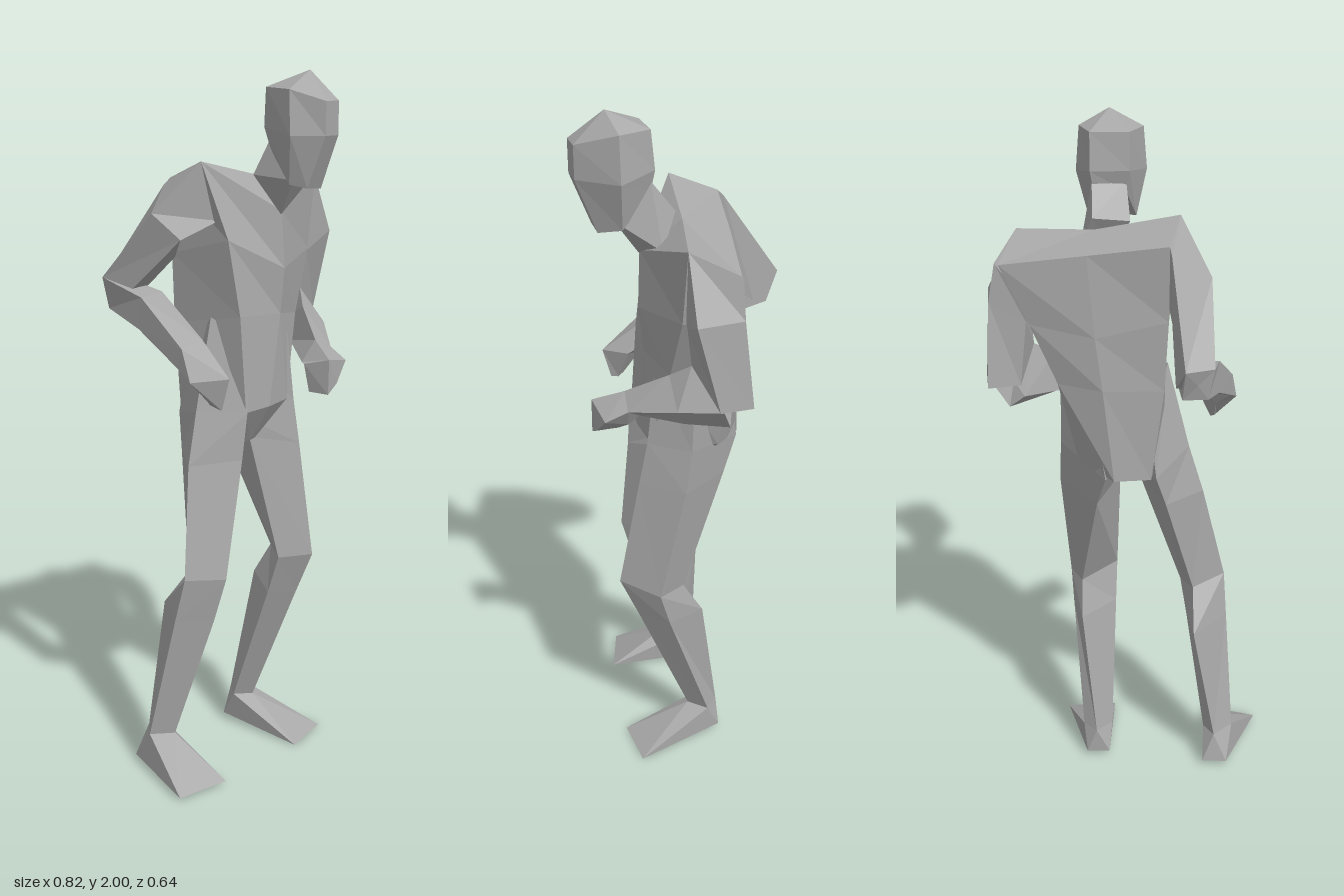
import * as THREE from 'three';

const V = (p) => new THREE.Vector3(...p);

// Faceted solid through matching rings of points, closed by a fan at each end.
// An optional tip point replaces the centre of the starting fan.
function loft(rings, tip) {
  const R = rings.map((r) => r.map(V));
  const n = R[0].length;
  const tris = [];
  for (let i = 0; i < R.length - 1; i++) {
    for (let j = 0; j < n; j++) {
      const k = (j + 1) % n;
      tris.push([R[i][j], R[i][k], R[i + 1][k]], [R[i][j], R[i + 1][k], R[i + 1][j]]);
    }
  }
  const centre = (r) => r.reduce((s, p) => s.add(p), new THREE.Vector3()).divideScalar(n);
  const first = R[0], last = R[R.length - 1];
  const a = tip ? V(tip) : centre(first);
  const b = centre(last);
  for (let j = 0; j < n; j++) {
    const k = (j + 1) % n;
    tris.push([a, first[k], first[j]], [b, last[j], last[k]]);
  }
  // Turn the faces outward whichever way the rings run
  const mid = centre(first).add(centre(last)).multiplyScalar(0.5);
  let volume = 0;
  for (const [p, q, r] of tris) {
    const d = p.clone().sub(mid);
    volume += d.dot(q.clone().sub(mid).cross(r.clone().sub(mid)));
  }
  const pts = tris.flatMap(([p, q, r]) => (volume < 0 ? [p, r, q] : [p, q, r]));
  const g = new THREE.BufferGeometry().setFromPoints(pts);
  g.computeVertexNormals();
  return g;
}

export function createModel() {
  const model = new THREE.Group();
  model.name = 'standingFigure';
  const clay = new THREE.MeshStandardMaterial({ color: 0xa8a8a8, flatShading: true });
  clay.name = 'grey clay';
  const add = (name, rings, tip) => {
    const m = new THREE.Mesh(loft(rings, tip), clay);
    m.name = name;
    model.add(m);
  };

  // Head: crown, brow, cheeks and jaw
  add('head', [
    [[-0.04, 1.95, 0.23], [0, 1.92, 0.32], [0.065, 1.92, 0.32], [0.14, 1.955, 0.22], [0.11, 1.955, 0.13], [0, 1.955, 0.13]],
    [[-0.05, 1.83, 0.24], [0, 1.83, 0.32], [0.065, 1.83, 0.32], [0.15, 1.83, 0.22], [0.11, 1.85, 0.12], [0, 1.85, 0.125]],
    [[-0.02, 1.7, 0.22], [0, 1.69, 0.265], [0.07, 1.685, 0.265], [0.115, 1.7, 0.21], [0.1, 1.79, 0.13], [0.01, 1.79, 0.14]],
  ], [0.055, 2.0, 0.235]);

  add('neck', [
    [[0.01, 1.82, 0.14], [0.105, 1.82, 0.13], [0.11, 1.71, 0.21], [0, 1.71, 0.22]],
    [[0, 1.72, 0.09], [0.105, 1.735, 0.065], [0.14, 1.64, 0.11], [0.05, 1.61, 0.15]],
  ]);

  // Torso: shoulders, chest, waist, hips, crotch
  add('torso', [
    [[-0.135, 1.76, 0.01], [0.055, 1.62, 0.15], [0.315, 1.7, 0.097], [0.36, 1.635, -0.03], [0.12, 1.675, -0.08], [-0.1, 1.71, -0.12]],
    [[-0.12, 1.55, 0.09], [0.06, 1.46, 0.158], [0.275, 1.49, 0.1], [0.28, 1.47, -0.045], [0.1, 1.45, -0.105], [-0.1, 1.5, -0.118]],
    [[-0.105, 1.34, 0.12], [0.06, 1.33, 0.145], [0.195, 1.31, 0.11], [0.205, 1.3, -0.06], [0.08, 1.3, -0.12], [-0.09, 1.3, -0.118]],
    [[-0.105, 1.07, 0.14], [0, 1.07, 0.15], [0.105, 1.07, 0.14], [0.15, 1.05, -0.045], [0.05, 1.03, -0.135], [-0.055, 1.03, -0.125]],
    [[-0.03, 0.96, 0.08], [0, 0.96, 0.085], [0.03, 0.96, 0.08], [0.035, 0.955, 0.04], [0.01, 0.955, 0.03], [-0.03, 0.955, 0.03]],
  ], [0.1, 1.71, 0.045]);

  // Right arm, elbow drawn far back
  const rightElbow = [[-0.215, 1.43, -0.28], [-0.135, 1.435, -0.32], [-0.115, 1.36, -0.24], [-0.205, 1.36, -0.23]];
  const rightWrist = [[-0.295, 1.275, 0.06], [-0.215, 1.29, 0.07], [-0.205, 1.23, 0.05], [-0.29, 1.22, 0.04]];
  add('rightUpperArm', [
    [[-0.135, 1.76, 0.01], [-0.1, 1.71, -0.12], [-0.1, 1.54, -0.09], [-0.11, 1.6, 0.05]],
    [[-0.215, 1.62, -0.1], [-0.105, 1.69, -0.14], [-0.11, 1.49, -0.1], [-0.19, 1.55, -0.02]],
    rightElbow,
  ]);
  add('rightForearm', [
    [[-0.215, 1.43, -0.28], [-0.135, 1.435, -0.32], [-0.13, 1.345, -0.285], [-0.2, 1.34, -0.27]],
    [[-0.24, 1.39, -0.12], [-0.12, 1.39, -0.14], [-0.13, 1.31, -0.14], [-0.24, 1.3, -0.13]],
    rightWrist,
  ]);
  add('rightHand', [
    rightWrist,
    [[-0.312, 1.19, 0.1], [-0.25, 1.2, 0.185], [-0.2, 1.2, 0.12], [-0.25, 1.18, 0.07]],
    [[-0.255, 1.12, 0.13], [-0.25, 1.11, 0.16], [-0.24, 1.11, 0.14], [-0.25, 1.12, 0.12]],
  ]);

  // Left arm, bent across the waist
  const leftWrist = [[0.2, 1.22, 0.23], [0.17, 1.19, 0.19], [0.09, 1.19, 0.2], [0.13, 1.25, 0.22]];
  add('leftUpperArm', [
    [[0.315, 1.7, 0.097], [0.37, 1.64, -0.03], [0.27, 1.5, -0.03], [0.26, 1.52, 0.09]],
    [[0.4, 1.53, 0.1], [0.39, 1.53, -0.03], [0.29, 1.47, -0.02], [0.285, 1.48, 0.09]],
    [[0.41, 1.29, 0.04], [0.4, 1.285, -0.055], [0.31, 1.28, -0.02], [0.275, 1.37, 0.075]],
  ]);
  add('leftForearm', [
    [[0.41, 1.29, 0.03], [0.345, 1.21, -0.01], [0.3, 1.25, -0.03], [0.275, 1.37, 0.075]],
    [[0.325, 1.265, 0.13], [0.29, 1.21, 0.1], [0.215, 1.22, 0.08], [0.22, 1.325, 0.12]],
    leftWrist,
  ]);
  add('leftHand', [
    leftWrist,
    [[0.185, 1.19, 0.29], [0.165, 1.165, 0.22], [0.07, 1.19, 0.22], [0.075, 1.21, 0.3]],
    [[0.12, 1.135, 0.3], [0.12, 1.135, 0.235], [0.075, 1.11, 0.235], [0.072, 1.11, 0.3]],
  ]);

  // Legs: diamond sections (front, outer, back, inner) from hip to thigh, knee, calf and ankle;
  // each foot flares from its ankle
  const rightAnkle = [[-0.27, 0.115, 0.005], [-0.32, 0.115, -0.05], [-0.26, 0.11, -0.1], [-0.23, 0.11, -0.05]];
  add('rightLeg', [
    [[-0.06, 1.26, 0.125], [-0.105, 1.33, 0.02], [-0.05, 1.2, -0.1], [0, 1.2, 0.02]],
    [[-0.105, 1.07, 0.145], [-0.17, 1.07, 0.015], [-0.07, 1.03, -0.12], [-0.02, 1.02, 0.02]],
    [[-0.13, 0.94, 0.145], [-0.215, 0.92, 0.02], [-0.1, 0.93, -0.09], [-0.03, 0.96, 0.03]],
    [[-0.215, 0.61, 0.15], [-0.29, 0.61, 0.06], [-0.19, 0.595, 0], [-0.155, 0.59, 0.065]],
    [[-0.226, 0.48, 0.115], [-0.298, 0.48, 0.03], [-0.19, 0.48, -0.09], [-0.174, 0.48, 0.035]],
    rightAnkle,
  ]);
  add('rightFoot', [
    rightAnkle,
    [[-0.26, 0.01, 0.18], [-0.413, 0.01, 0.13], [-0.3, 0.02, -0.12], [-0.225, 0.02, -0.115]],
  ]);

  const leftAnkle = [[0.1, 0.1, 0.03], [0.15, 0.1, -0.02], [0.11, 0.1, -0.06], [0.06, 0.1, -0.015]];
  add('leftLeg', [
    [[0.12, 1.28, 0.13], [0.2, 1.3, 0.04], [0.1, 1.2, -0.1], [0.03, 1.2, 0.02]],
    [[0.12, 1.07, 0.155], [0.205, 1.07, 0.05], [0.075, 1.03, -0.125], [0.02, 1.02, 0.04]],
    [[0.115, 0.94, 0.18], [0.21, 0.94, 0.07], [0.1, 0.93, -0.08], [0.03, 0.96, 0.06]],
    [[0.1, 0.61, 0.24], [0.185, 0.585, 0.14], [0.15, 0.59, 0.06], [0.04, 0.6, 0.16]],
    [[0.1, 0.48, 0.185], [0.178, 0.48, 0.11], [0.15, 0.49, 0], [0.045, 0.48, 0.12]],
    leftAnkle,
  ]);
  add('leftFoot', [
    leftAnkle,
    [[0.05, 0, 0.22], [0.205, 0, 0.21], [0.14, 0.02, -0.06], [0.07, 0.02, -0.06]],
  ]);

  return model;
}
